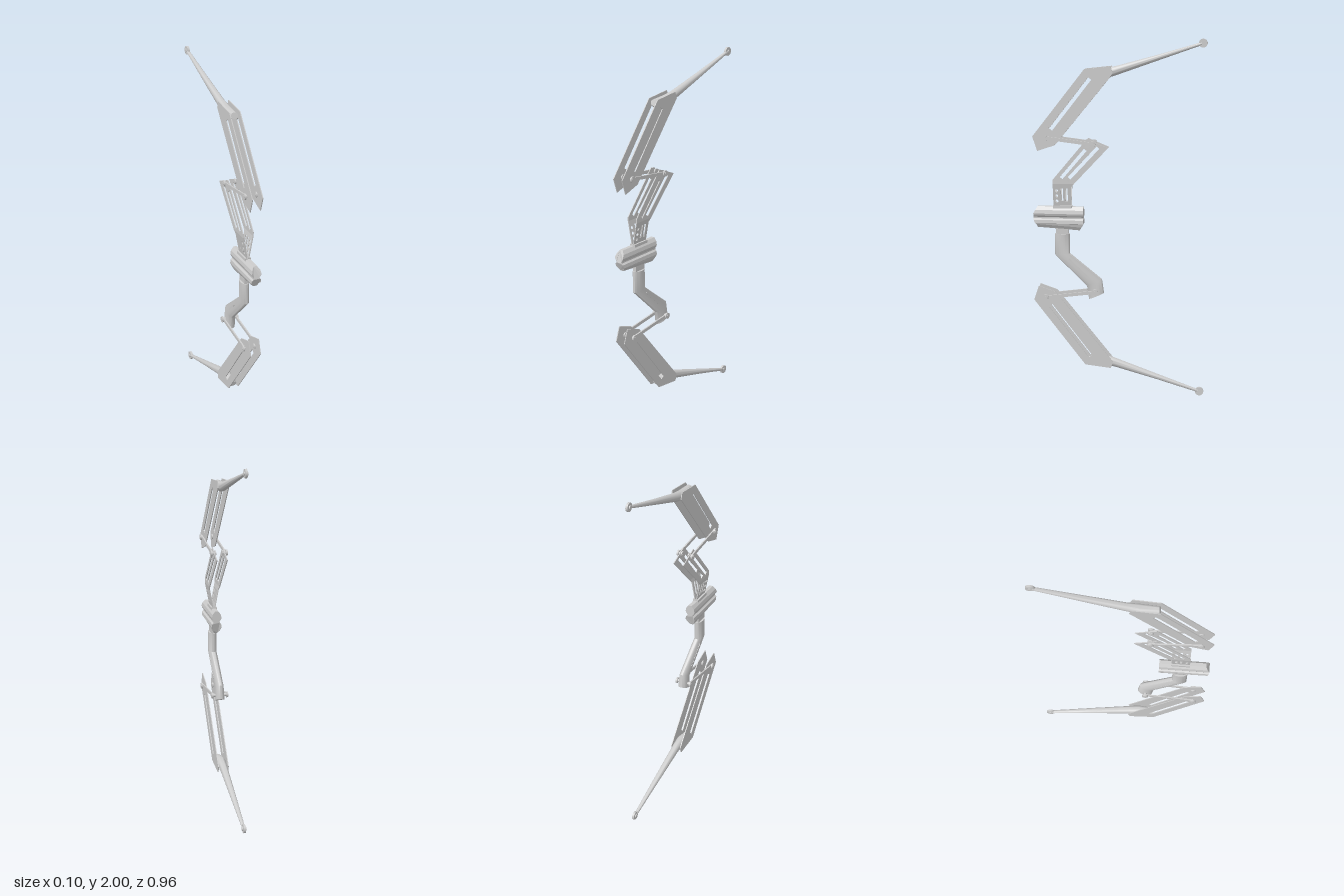
import * as THREE from 'three';
import { toCreasedNormals } from 'three/addons/utils/BufferGeometryUtils.js';

const grey = new THREE.MeshStandardMaterial({ color: 0xcccccc });

function add(parent, name, geometry) {
  const mesh = new THREE.Mesh(geometry, grey);
  mesh.name = name;
  parent.add(mesh);
  return mesh;
}

const path = (pts) => new THREE.Path(pts.map(([z, y]) => new THREE.Vector2(z, y)));

// straight slot from a to b, width w
function slot([az, ay], [bz, by], w) {
  const l = Math.hypot(bz - az, by - ay);
  const nz = (-(by - ay) / l) * w / 2, ny = ((bz - az) / l) * w / 2;
  return path([[az + nz, ay + ny], [bz + nz, by + ny], [bz - nz, by - ny], [az - nz, ay - ny]]);
}

function roundHole(z, y, r) {
  const p = new THREE.Path();
  p.absarc(z, y, r, 0, Math.PI * 2);
  return p;
}

// sheet cut from a z-y outline, thickness along x
function sheet(pts, holes, thickness, x) {
  const shape = new THREE.Shape(pts.map(([z, y]) => new THREE.Vector2(z, y)));
  shape.holes.push(...holes);
  return new THREE.ExtrudeGeometry(shape, { depth: thickness, bevelEnabled: false, curveSegments: 6 })
    .translate(0, 0, -thickness / 2).rotateY(-Math.PI / 2).translate(x, 0, 0);
}

// oval loft; each section is [z0, y0, z1, y1, half width in x]
function loft(sections, n = 20) {
  const pos = [], idx = [];
  for (const [z0, y0, z1, y1, w] of sections) {
    for (let j = 0; j < n; j++) {
      const a = (j / n) * Math.PI * 2, c = Math.cos(a) / 2;
      pos.push(w * Math.sin(a), (y0 + y1) / 2 + (y1 - y0) * c, (z0 + z1) / 2 + (z1 - z0) * c);
    }
  }
  const last = (sections.length - 1) * n;
  for (let j = 0; j < n; j++) {
    const k = (j + 1) % n;
    for (let r = 0; r < last; r += n) {
      idx.push(r + j, r + k, r + n + j, r + k, r + n + k, r + n + j);
    }
    if (j > 0 && j < n - 1) idx.push(0, k, j, last, last + j, last + k);
  }
  const g = new THREE.BufferGeometry();
  g.setAttribute('position', new THREE.Float32BufferAttribute(pos, 3));
  g.setIndex(idx);
  return toCreasedNormals(g, 0.7);
}

// cylinder lying along x
const pin = (r, length, x, y, z) =>
  new THREE.CylinderGeometry(r, r, length, 16).rotateZ(Math.PI / 2).translate(x, y, z);

// one limb, heights measured from the middle of the bow
function createLimb() {
  const limb = new THREE.Group();
  const outline = [[0.19, 0.831], [0.045, 0.847], [0.033, 0.81], [0.357, 0.413], [0.452, 0.381], [0.479, 0.461]];
  for (const s of [-1, 1]) {
    add(limb, 'limbPlate', sheet(outline, [slot([0.385, 0.492], [0.16, 0.782], 0.024)], 0.005, s * 0.029));
  }
  add(limb, 'limbRod', loft([
    [0.19, 0.795, 0.18, 0.828, 0.02],
    [0.1, 0.778, 0.085, 0.835, 0.026],
    [0.035, 0.792, 0.02, 0.848, 0.022],
    [-0.2, 0.876, -0.21, 0.911, 0.016],
    [-0.45, 0.965, -0.455, 0.983, 0.009],
  ]));
  add(limb, 'tipDisc', pin(0.024, 0.012, 0, 0.974, -0.452));
  add(limb, 'tipHub', pin(0.01, 0.024, 0, 0.974, -0.452));
  return limb;
}

// pair of links with pins between two points [z, y]
function createLinks(a, b) {
  const links = new THREE.Group();
  const dz = b[0] - a[0], dy = b[1] - a[1];
  for (const s of [-1, 1]) {
    const rod = new THREE.BoxGeometry(0.008, 0.018, Math.hypot(dz, dy))
      .rotateX(-Math.atan2(dy, dz))
      .translate(s * 0.037, (a[1] + b[1]) / 2, (a[0] + b[0]) / 2);
    add(links, 'linkRod', rod);
    for (const [z, y] of [a, b]) {
      add(links, 'linkPin', pin(0.009, 0.034, s * 0.033, y, z));
      add(links, 'pinOuterHead', pin(0.017, 0.01, s * 0.043, y, z));
      add(links, 'pinInnerHead', pin(0.015, 0.007, s * 0.021, y, z));
    }
  }
  return links;
}

// forked arm above the centre block
function createUpperArm() {
  const arm = new THREE.Group();
  const upper = [[0.368, 1.2], [0.368, 1.222], [0.177, 1.45], [0.06, 1.402], [0.25, 1.2]];
  const lower = [[0.368, 1.05], [0.368, 1.2], [0.25, 1.2], [0.267, 1.18], [0.267, 1.05]];
  for (const s of [-1, 1]) {
    add(arm, 'armPlate', sheet(upper, [
      slot([0.33, 1.222], [0.185, 1.392], 0.02),
      slot([0.285, 1.222], [0.115, 1.405], 0.02),
    ], 0.005, s * 0.029));
    const foot = sheet(lower, [
      slot([0.318, 1.1], [0.318, 1.175], 0.013),
      slot([0.292, 1.1], [0.292, 1.175], 0.013),
      ...[1.1, 1.13, 1.16].map((y) => roundHole(0.348, y, 0.009)),
    ], 0.005, 0);
    // lean the foot inward towards the block
    const p = foot.attributes.position;
    for (let i = 0; i < p.count; i++) {
      p.setX(i, p.getX(i) + s * (0.029 - (1.2 - p.getY(i)) * 0.19));
    }
    foot.computeVertexNormals();
    add(arm, 'armFoot', foot);
  }
  add(arm, 'armSaddle', new THREE.BoxGeometry(0.034, 0.04, 0.105).translate(0, 1.055, 0.317));
  return arm;
}

// grooved block with slanted ends
function createCentreBlock() {
  const half = [[0.01, 1.069], [0.024, 1.05], [0.028, 1.03], [0.024, 1.018], [0.017, 1.01], [0.017, 1.002],
    [0.026, 0.994], [0.028, 0.975], [0.022, 0.955], [0.011, 0.937]];
  const full = [...half, ...half.map(([x, y]) => [-x, y]).reverse()];
  const shape = new THREE.Shape(full.map(([x, y]) => new THREE.Vector2(x, y)));
  const g = new THREE.ExtrudeGeometry(shape, { depth: 1, bevelEnabled: false });
  const p = g.attributes.position;
  for (let i = 0; i < p.count; i++) {
    const y = p.getY(i);
    const front = 0.479 - Math.max(0, y - 1.03) * 0.54 - Math.max(0, 1.0 - y) * 0.36;
    const back = 0.2 + Math.max(0, 0.975 - y) * 0.55;
    // underside rises towards the front
    if (p.getZ(i) > 0.5 && y < 0.96) p.setY(i, y + 0.015);
    p.setZ(i, p.getZ(i) > 0.5 ? front : back);
  }
  g.computeVertexNormals();
  return g;
}

// rounded cranked grip below the block
function createGrip() {
  const grip = new THREE.Group();
  add(grip, 'gripNeck', new THREE.BoxGeometry(0.024, 0.06, 0.07).translate(0, 0.935, 0.32));
  add(grip, 'gripBody', loft([
    [0.362, 0.915, 0.278, 0.915, 0.023],
    [0.362, 0.794, 0.278, 0.804, 0.023],
    [0.183, 0.62, 0.098, 0.66, 0.024],
    [0.172, 0.545, 0.087, 0.582, 0.027],
  ], 24));
  for (const s of [-1, 1]) {
    add(grip, 'gripRib', sheet([[0.285, 0.77], [0.18, 0.672], [0.176, 0.68], [0.281, 0.778]], [], 0.004, s * 0.0225));
  }
  return grip;
}

export function createModel() {
  const bow = new THREE.Group();
  bow.name = 'foldingBow';
  const part = (name, group) => {
    group.name = name;
    bow.add(group);
    return group;
  };
  part('upperLimb', createLimb()).position.y = 1;
  const lower = part('lowerLimb', createLimb());
  lower.position.y = 1;
  lower.rotation.z = Math.PI;
  part('upperLinks', createLinks([0.41, 1.455], [0.145, 1.423]));
  part('lowerLinks', createLinks([0.41, 0.555], [0.132, 0.592]));
  part('upperArm', createUpperArm());
  add(bow, 'centreBlock', createCentreBlock());
  part('grip', createGrip());
  return bow;
}
